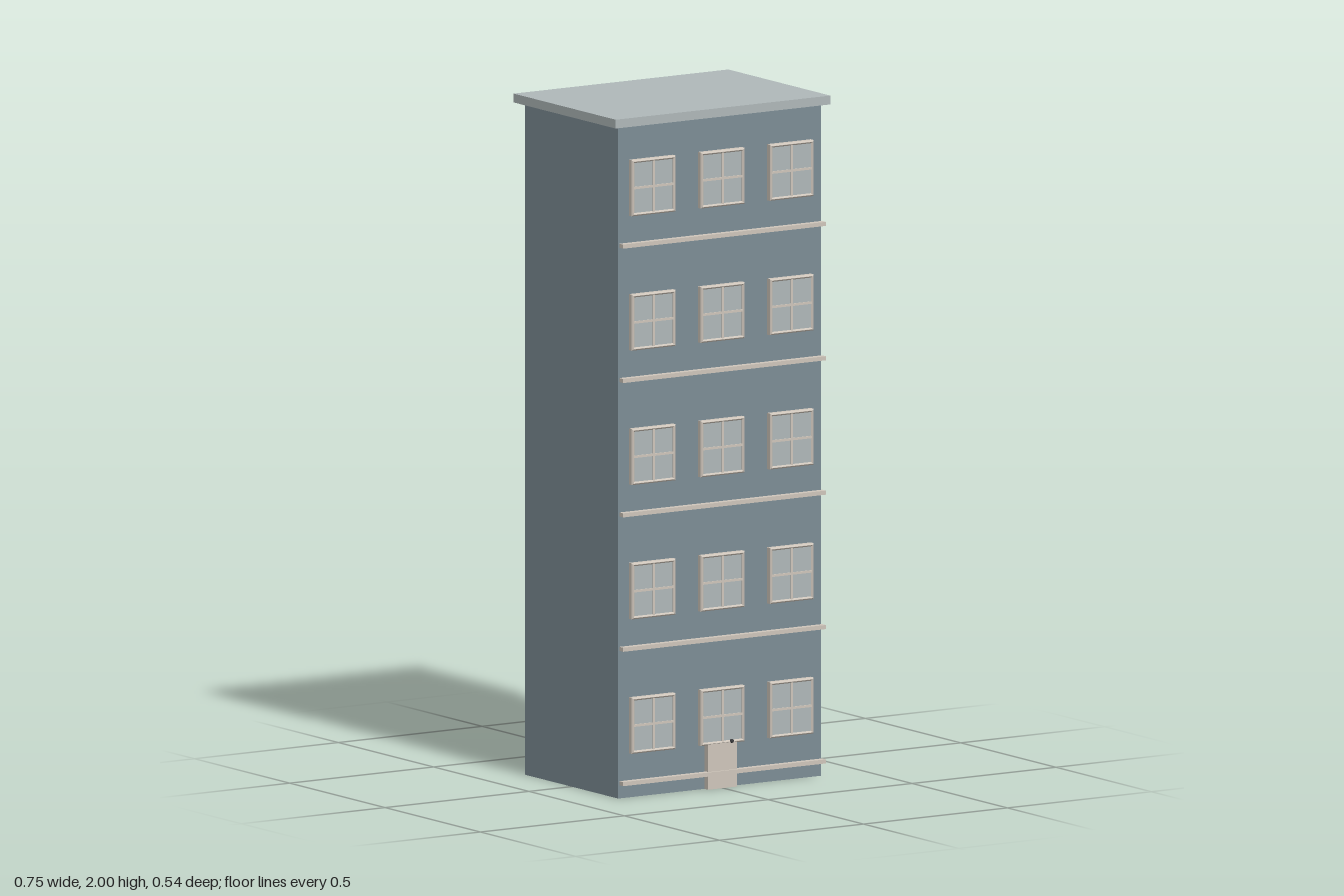
import * as THREE from 'three';

const mat = (name, color) => {
  const m = new THREE.MeshStandardMaterial({ color });
  m.name = name;
  return m;
};

export function createModel() {
  const wall = mat('slate wall', 0x7c8c95);
  const pale = mat('pale grey', 0xaeb7b8);
  const cream = mat('cream trim', 0xcec5ba);
  const dark = mat('dark metal', 0x3a3a3c);

  const building = new THREE.Group();
  building.name = 'apartmentBuilding';

  const add = (parent, name, geometry, material, x, y, z) => {
    const mesh = new THREE.Mesh(geometry, material);
    mesh.name = name;
    mesh.position.set(x, y, z);
    parent.add(mesh);
    return mesh;
  };
  const box = (parent, name, w, h, d, material, x, y, z) =>
    add(parent, name, new THREE.BoxGeometry(w, h, d), material, x, y, z);

  const front = 0.244, floorHeight = 0.395;

  // Main block and overhanging roof slab
  box(building, 'walls', 0.704, 1.976, 0.489, wall, 0, 0.988, 0);
  box(building, 'roof', 0.746, 0.026, 0.535, pale, 0, 1.987, -0.0045);

  // Window frame with a bevelled front edge
  const w = 0.152, h = 0.165, bevel = 0.004, rim = 0.007;
  const rect = (shape, a, b) => {
    shape.moveTo(-a, -b);
    shape.lineTo(a, -b);
    shape.lineTo(a, b);
    shape.lineTo(-a, b);
    shape.closePath();
    return shape;
  };
  const outline = rect(new THREE.Shape(), w / 2 - bevel, h / 2 - bevel);
  outline.holes.push(rect(new THREE.Path(), w / 2 - rim + bevel / 2, h / 2 - rim + bevel / 2));
  const frameGeometry = new THREE.ExtrudeGeometry(outline, {
    depth: 0.014, bevelEnabled: true, bevelThickness: bevel, bevelSize: bevel, bevelSegments: 1,
  });

  const addWindow = (x, y) => {
    const g = new THREE.Group();
    g.name = 'window';
    g.position.set(x, y, front);
    add(g, 'windowFrame', frameGeometry, cream, 0, 0, 0.003);
    box(g, 'glass', w - rim, h - rim, 0.016, pale, 0, 0, 0.008);
    box(g, 'verticalBar', 0.007, h - rim, 0.004, cream, 0, 0, 0.017);
    box(g, 'horizontalBar', w - rim, 0.007, 0.004, cream, 0, 0, 0.017);
    building.add(g);
  };

  // Each storey has a string course and three windows
  for (let i = 0; i < 5; i++) {
    const y = i * floorHeight;
    box(building, 'ledge', 0.704, 0.012, 0.02, cream, 0, 0.046 + y, 0.261);
    for (const x of [-0.24, 0, 0.24]) addWindow(x, 0.2125 + y);
  }

  // Entrance door with a small knob at its upper edge
  box(building, 'door', 0.1, 0.135, 0.024, cream, -0.002, 0.0675, front + 0.008);
  add(building, 'doorKnob', new THREE.SphereGeometry(0.006, 12, 8), dark, 0.03, 0.136, 0.264);

  return building;
}
